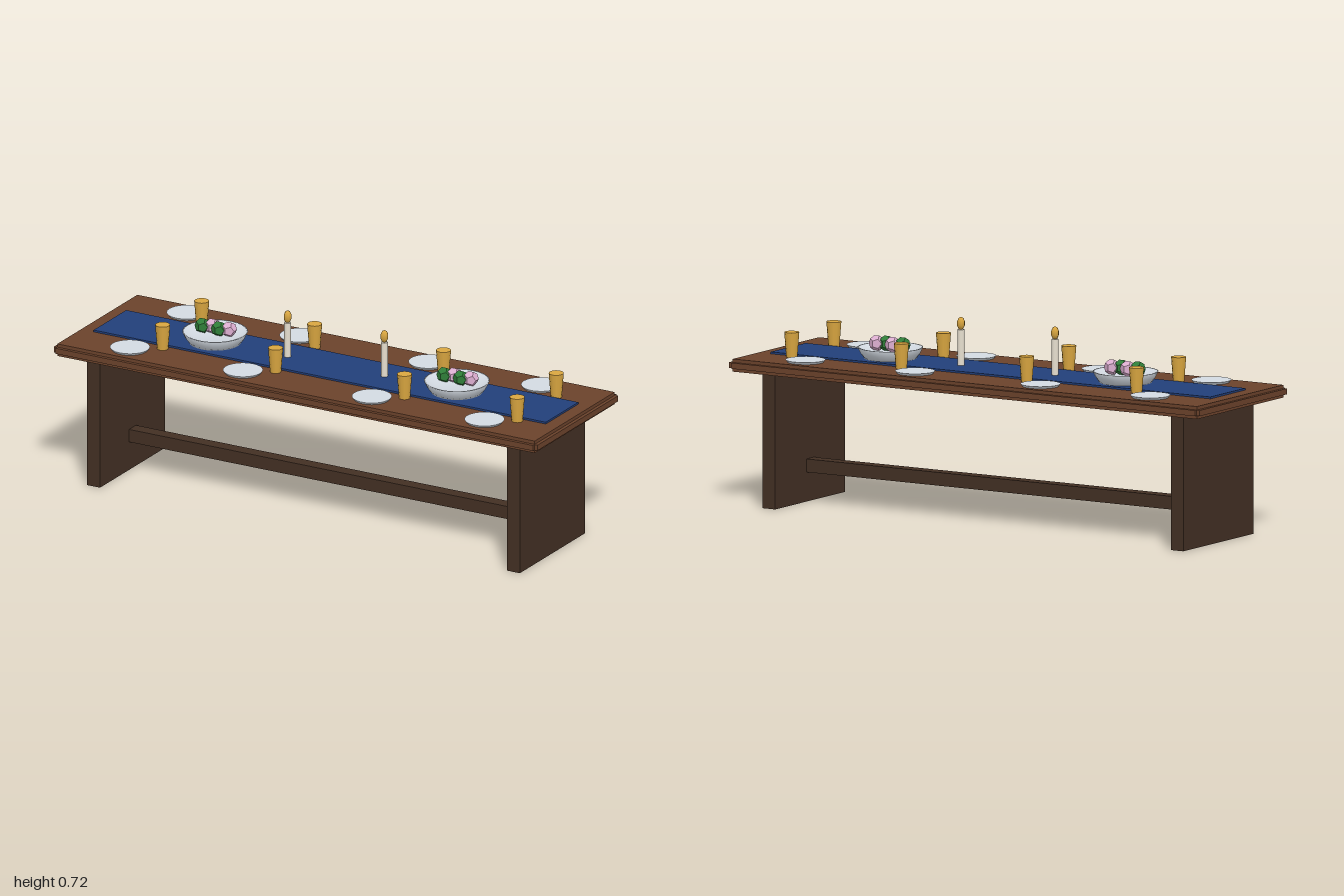
import * as THREE from 'three';

const mat = (name, color) => {
  const m = new THREE.MeshStandardMaterial({ color });
  m.name = name;
  return m;
};

export function createModel() {
  const wood = mat('table wood', 0x6b422b);
  const darkWood = mat('dark wood', 0x422f23);
  const cloth = mat('blue cloth', 0x223f7a);
  const china = mat('pale china', 0xd3dae2);
  const gold = mat('gold', 0xd9a640);
  const wax = mat('candle wax', 0xeae2d2);
  const green = mat('green fruit', 0x2f7d38);
  const pink = mat('pink fruit', 0xdcaed0);

  const model = new THREE.Group();
  model.name = 'diningTable';

  const add = (name, geometry, material, x, y, z, parent = model) => {
    const mesh = new THREE.Mesh(geometry, material);
    mesh.name = name;
    mesh.position.set(x, y, z);
    parent.add(mesh);
    return mesh;
  };
  const box = (name, w, h, d, material, x, y, z) =>
    add(name, new THREE.BoxGeometry(w, h, d), material, x, y, z);
  const lathe = (points, sides) =>
    new THREE.LatheGeometry(points.map(([r, y]) => new THREE.Vector2(r, y)), sides);

  // Tabletop with a raised edge strip all round
  const top = 0.541;
  box('tabletop', 1.974, 0.046, 0.574, wood, 0, 0.518, 0);
  for (const s of [-1, 1]) {
    box('longEdgeTrim', 1.974, 0.021, 0.026, wood, 0, 0.518, s * 0.287);
    box('endEdgeTrim', 0.026, 0.021, 0.58, wood, s * 0.987, 0.518, 0);
    // Slab legs
    box('leg', 0.053, 0.495, 0.466, darkWood, s * 0.868, 0.2475, 0);
  }
  box('stretcher', 1.69, 0.048, 0.05, darkWood, 0, 0.131, 0);

  // Table runner
  box('runner', 1.87, 0.007, 0.234, cloth, 0, top + 0.0035, 0);

  // Eight place settings: a plate and a cup each
  const plateGeo = new THREE.CylinderGeometry(0.072, 0.065, 0.009, 24);
  const cupGeo = new THREE.CylinderGeometry(0.027, 0.02, 0.092, 12);
  for (const x of [-0.735, -0.268, 0.265, 0.731]) {
    for (const s of [-1, 1]) {
      add('plate', plateGeo, china, x, top + 0.0045, s * 0.203);
      add('cup', cupGeo, gold, x + 0.099, top + 0.046, s * 0.14);
    }
  }

  // Shallow bowls holding a row of fruit
  const bowlGeo = lathe([
    [0, 0], [0.094, 0], [0.108, 0.02], [0.118, 0.04], [0.112, 0.04], [0.08, 0.027], [0, 0.022],
  ], 28);
  const fruitGeo = new THREE.DodecahedronGeometry(0.029);
  for (const s of [-1, 1]) {
    const bowl = new THREE.Group();
    bowl.name = 'fruitBowl';
    bowl.position.set(s * 0.5, 0.548, 0);
    model.add(bowl);
    add('bowl', bowlGeo, china, 0, 0, 0, bowl);
    for (let i = 0; i < 4; i++) {
      const odd = i % 2;
      add('fruit', fruitGeo, odd ? pink : green, -0.052 + i * 0.034, 0.052, odd ? -0.013 : 0, bowl);
    }
  }

  // Candles with faceted flames
  const candleGeo = new THREE.CylinderGeometry(0.0125, 0.0125, 0.13, 12);
  const flameGeo = new THREE.SphereGeometry(0.015, 8, 5);
  flameGeo.scale(1, 1.6, 1);
  for (const s of [-1, 1]) {
    add('candle', candleGeo, wax, s * 0.2, 0.613, 0);
    add('flame', flameGeo, gold, s * 0.2, 0.7, 0);
  }

  return model;
}
